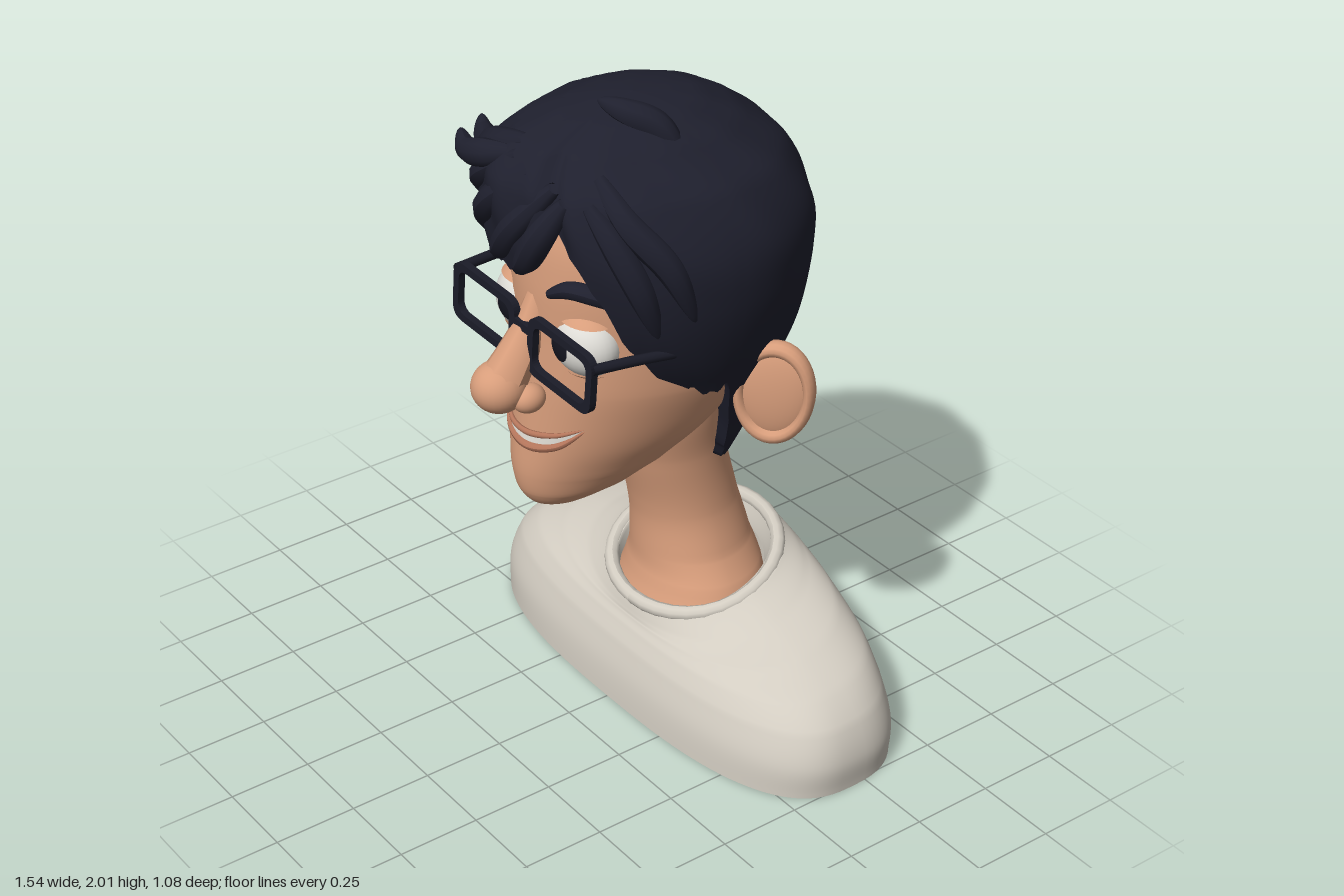
import * as THREE from 'three';

const paint = (name, color) => {
  const m = new THREE.MeshStandardMaterial({ color, side: THREE.DoubleSide });
  m.name = name;
  return m;
};

// Closed-ring grid; rows run upward, columns from the front towards +x
function grid(rows, cols, fn) {
  const pos = [], idx = [];
  for (let i = 0; i <= rows; i++)
    for (let j = 0; j < cols; j++) pos.push(...fn(i / rows, (j / cols) * Math.PI * 2));
  for (let i = 0; i < rows; i++)
    for (let j = 0; j < cols; j++) {
      const a = i * cols + j, b = i * cols + (j + 1) % cols, c = a + cols, d = b + cols;
      idx.push(a, b, d, a, d, c);
    }
  const g = new THREE.BufferGeometry();
  g.setAttribute('position', new THREE.Float32BufferAttribute(pos, 3));
  g.setIndex(idx);
  g.computeVertexNormals();
  return g;
}

// Section: [y, centre x, half width, centre z, front z, back z, power, slope]
function section(secs, u) {
  const n = secs.length - 1, i = Math.min(n - 1, Math.floor(u)), t = u - i;
  const at = (k, c) => secs[Math.max(0, Math.min(n, k))][c] ?? (c === 6 ? 2 : 0);
  return [0, 1, 2, 3, 4, 5, 6, 7].map((c) => {
    const a = at(i - 1, c), b = at(i, c), d = at(i + 1, c), e = at(i + 2, c);
    if (c === 0) return b + (d - b) * t;
    return b + 0.5 * t * (d - a + t * (2 * a - 5 * b + 4 * d - e + t * (3 * (b - d) + e - a)));
  });
}
function sectionAtY(secs, y) {
  let i = 0;
  while (i < secs.length - 2 && secs[i + 1][0] < y) i++;
  const t = (y - secs[i][0]) / (secs[i + 1][0] - secs[i][0]);
  return section(secs, i + Math.max(0, Math.min(1, t)));
}
function ringPoint([y, cx, rx, zc, zf, zb, p, slope], a, k = 1) {
  const s = Math.sin(a), c = Math.cos(a);
  const sx = Math.sign(s) * Math.abs(s) ** (2 / p), sz = Math.sign(c) * Math.abs(c) ** (2 / p);
  return [cx + rx * sx * k, y - slope * sz, zc + (c > 0 ? zf - zc : zc - zb) * sz * k];
}
const loft = (secs, rows = 48, cols = 72) =>
  grid(rows, cols, (v, a) => ringPoint(section(secs, v * (secs.length - 1)), a));

// Front surface depth at x, y
function frontZ(secs, x, y) {
  const [, cx, rx, zc, zf] = sectionAtY(secs, y);
  const s = Math.min(0.97, Math.abs(x - cx) / rx);
  return zc + (zf - zc) * Math.sqrt(1 - s * s);
}

// Tube whose radius follows a taper rule
function sweep(points, r, taper = () => 1, closed = false) {
  const curve = new THREE.CatmullRomCurve3(points.map((p) => new THREE.Vector3(...p)), closed);
  const n = 32, g = new THREE.TubeGeometry(curve, n, r, 10, closed), p = g.attributes.position;
  const v = new THREE.Vector3();
  for (let k = 0; k < p.count; k++) {
    const u = Math.floor(k / 11) / n, c = curve.getPointAt(u);
    v.fromBufferAttribute(p, k).sub(c).multiplyScalar(taper(u)).add(c);
    p.setXYZ(k, v.x, v.y, v.z);
  }
  g.computeVertexNormals();
  return g;
}
const spindle = (u) => Math.sin(Math.PI * Math.min(1, 0.08 + u * 0.92)) ** 0.6;

function roundRect(S, w, h, r) {
  const s = new S(), x = w / 2, y = h / 2;
  s.moveTo(-x + r, -y).lineTo(x - r, -y).quadraticCurveTo(x, -y, x, -y + r);
  s.lineTo(x, y - r).quadraticCurveTo(x, y, x - r, y).lineTo(-x + r, y);
  s.quadraticCurveTo(-x, y, -x, y - r).lineTo(-x, -y + r).quadraticCurveTo(-x, -y, -x + r, -y);
  return s;
}

const SHIRT = [
  [0, 0, 0.765, -0.2, 0.11, -0.54, 2.7, 0], [0.1, 0, 0.77, -0.2, 0.1, -0.54, 2.7, 0],
  [0.2, 0, 0.735, -0.2, 0.075, -0.53, 2.6, 0.01], [0.27, 0, 0.66, -0.2, 0.05, -0.525, 2.5, 0.03],
  [0.325, 0, 0.53, -0.2, 0.035, -0.51, 2.3, 0.06], [0.36, 0, 0.4, -0.2, 0.03, -0.49, 2.1, 0.08],
  [0.41, 0, 0.29, -0.2, 0.015, -0.455, 2, 0.08], [0.41, 0, 0.25, -0.2, 0, -0.43, 2, 0.08],
  [0.33, 0, 0.23, -0.2, -0.02, -0.41, 2, 0.08]];
const NECK = [
  [0.24, 0, 0.27, -0.2, 0.02, -0.42], [0.38, -0.01, 0.215, -0.2, -0.03, -0.415],
  [0.46, -0.025, 0.18, -0.2, -0.04, -0.395], [0.6, -0.04, 0.16, -0.19, -0.035, -0.36],
  [0.8, -0.04, 0.16, -0.15, 0.015, -0.31], [0.95, -0.03, 0.175, -0.12, 0.05, -0.29],
  [1.1, -0.02, 0.18, -0.12, 0.05, -0.28]];
const HEAD = [
  [0.77, -0.02, 0, 0.28, 0.29, 0.27], [0.785, -0.02, 0.08, 0.24, 0.355, 0.14],
  [0.83, -0.02, 0.135, 0.17, 0.385, 0.01], [0.9, -0.02, 0.19, 0.08, 0.395, -0.07],
  [1, -0.015, 0.25, 0.01, 0.388, -0.2], [1.1, -0.01, 0.292, -0.03, 0.38, -0.3],
  [1.2, 0, 0.318, -0.05, 0.37, -0.35], [1.35, 0, 0.335, -0.05, 0.36, -0.4],
  [1.5, 0, 0.345, -0.05, 0.355, -0.42], [1.65, 0, 0.335, -0.05, 0.33, -0.4],
  [1.8, 0, 0.25, -0.05, 0.25, -0.3], [1.88, 0, 0, -0.05, -0.05, -0.05]];
const HAIR = [
  [0.72, -0.03, 0.13, -0.14, -0.08, -0.29], [0.8, -0.03, 0.18, -0.14, -0.02, -0.325],
  [0.9, -0.025, 0.235, -0.13, 0, -0.345], [1, -0.02, 0.275, -0.12, 0.05, -0.385],
  [1.2, 0, 0.345, -0.09, 0.23, -0.445], [1.35, 0, 0.405, -0.06, 0.34, -0.49],
  [1.5, 0, 0.44, -0.05, 0.395, -0.5], [1.65, 0, 0.44, -0.05, 0.425, -0.485],
  [1.8, -0.005, 0.375, -0.03, 0.43, -0.41], [1.9, 0, 0.25, 0, 0.36, -0.28],
  [1.95, 0.01, 0.15, 0.02, 0.23, -0.17], [1.968, 0.015, 0.07, 0.03, 0.12, -0.07],
  [1.975, 0.02, 0, 0.03, 0.03, 0.03]];
// Hairline: [angle from front in degrees, height]
const HEM = [
  [-180, 0.78], [-112, 0.8], [-99, 0.87], [-92, 1.02], [-85, 1.2], [-62, 1.2], [-52, 1.29],
  [-45, 1.4], [-35, 1.48], [-20, 1.54], [-5, 1.54], [6, 1.6], [14, 1.67], [22, 1.7], [32, 1.6],
  [43, 1.4], [53, 1.22], [72, 1.17], [85, 1.18], [92, 1], [99, 0.86], [112, 0.8], [180, 0.78]];

export function createModel() {
  const root = new THREE.Group();
  root.name = 'bust';
  const skin = paint('skin', 0xd79d7b), hair = paint('hair', 0x1f202e), cloth = paint('shirt cloth', 0xd2ccc1);
  const frame = paint('glasses frame', 0x1b1c28), white = paint('eye white', 0xdedcd6);
  const dark = paint('pupil', 0x14151f), tooth = paint('teeth', 0xe6e2da), lip = paint('lip', 0xb3755b);
  const add = (name, geo, mat, parent = root) => {
    const m = new THREE.Mesh(geo, mat);
    m.name = name;
    parent.add(m);
    return m;
  };
  const ball = (name, mat, p, r, parent) => {
    const m = add(name, new THREE.SphereGeometry(1, 32, 20), mat, parent);
    m.position.set(...p);
    m.scale.set(...r);
    return m;
  };

  // Shirt, flat underside and collar band
  add('shirt', loft(SHIRT, 64, 96), cloth);
  add('shirtBase', grid(1, 96, (v, a) => ringPoint(SHIRT[0], a, v)), cloth);
  const band = [];
  for (let i = 0; i < 24; i++) band.push(ringPoint([0.4, 0, 0.275, -0.2, 0.012, -0.445, 2, 0.08], (i / 24) * Math.PI * 2));
  add('collar', sweep(band, 0.022, undefined, true), cloth);

  // Neck, head and nose
  add('neck', loft(NECK), skin);
  add('head', loft(HEAD, 66, 72), skin);
  add('noseBridge', sweep([[0, 1.46, 0.32], [0, 1.36, 0.36], [0, 1.27, 0.415], [-0.005, 1.2, 0.46]], 0.07, (u) => 0.5 + 0.5 * u), skin);
  ball('noseTip', skin, [-0.008, 1.2, 0.46], [0.078, 0.075, 0.08]);
  for (const s of [-1, 1]) ball('nostril', skin, [-0.008 + s * 0.06, 1.172, 0.405], [0.042, 0.042, 0.05]);

  // Ears, eyes and lids
  for (const s of [-1, 1]) {
    const ear = new THREE.Group();
    ear.name = s > 0 ? 'leftEar' : 'rightEar';
    ear.position.set(s > 0 ? 0.385 : -0.405, s > 0 ? 1.14 : 1.205, -0.185);
    ear.rotation.set(0, s * 0.6, -s * 0.14);
    root.add(ear);
    ball('earBowl', skin, [0, 0, -0.008], [0.105, 0.15, 0.036], ear);
    add('earRim', new THREE.TorusGeometry(1, 0.17, 12, 40), skin, ear).scale.set(0.1, 0.14, 0.17);

    const eye = new THREE.Group();
    eye.name = s > 0 ? 'leftEye' : 'rightEye';
    eye.position.set(s * 0.142, s > 0 ? 1.345 : 1.36, 0.272);
    eye.rotation.y = s * 0.2;
    eye.scale.set(0.105, 0.095, 0.083);
    root.add(eye);
    ball('eyeball', white, [0, 0, 0], [1, 1, 1], eye);
    const pupil = add('pupil', new THREE.SphereGeometry(1.025, 24, 8, 0, Math.PI * 2, 0, 0.45), dark, eye);
    pupil.quaternion.setFromUnitVectors(new THREE.Vector3(0, 1, 0), new THREE.Vector3(-s * 0.43, 0, 1).normalize());
    add('upperLid', new THREE.SphereGeometry(1.09, 32, 10, 0, Math.PI * 2, 0, 0.8), skin, eye);
    add('lowerLid', new THREE.SphereGeometry(1.07, 32, 10, 0, Math.PI * 2, 2.4, Math.PI - 2.4), skin, eye);
  }

  // Eyebrows and mouth follow the face
  const onFace = (pts, off) => pts.map(([x, y]) => [x, y, frontZ(HEAD, x, y) + off]);
  add('leftBrow', sweep(onFace([[0.08, 1.49], [0.14, 1.52], [0.2, 1.515], [0.27, 1.47]], 0.008), 0.027, spindle), hair);
  add('rightBrow', sweep(onFace([[-0.05, 1.525], [-0.12, 1.535], [-0.19, 1.52], [-0.26, 1.475]], 0.008), 0.027, spindle), hair);
  const upper = [[-0.12, 1.065], [-0.05, 1.043], [0.02, 1.04], [0.1, 1.055], [0.165, 1.085]];
  const lower = [[-0.12, 1.065], [-0.06, 1.02], [0.02, 1.005], [0.1, 1.025], [0.165, 1.085]];
  const up = new THREE.SplineCurve(upper.map((p) => new THREE.Vector2(...p)));
  const low = new THREE.SplineCurve(lower.map((p) => new THREE.Vector2(...p)));
  const teeth = new THREE.PlaneGeometry(1, 1, 24, 4), tp = teeth.attributes.position;
  for (let k = 0; k < tp.count; k++) {
    const u = tp.getX(k) + 0.5, q = low.getPoint(u).lerp(up.getPoint(u), tp.getY(k) + 0.5);
    tp.setXYZ(k, q.x, q.y, frontZ(HEAD, q.x, q.y) + 0.006);
  }
  teeth.computeVertexNormals();
  add('teeth', teeth, tooth);
  add('upperLip', sweep(onFace(upper, 0.005), 0.009, spindle), lip);
  add('lowerLip', sweep(onFace(lower.map(([x, y]) => [x, y - 0.006]), 0.003), 0.014, spindle), lip);

  // Hair cap with an uneven hem, a parting and shallow grooves
  const hemY = (deg) => {
    let i = 0;
    while (i < HEM.length - 2 && HEM[i + 1][0] < deg) i++;
    const [a, y0] = HEM[i], [b, y1] = HEM[i + 1], r = (deg * Math.PI) / 180;
    return y0 + ((y1 - y0) * (deg - a)) / (b - a) + 0.012 * Math.sin(r * 40) + 0.008 * Math.sin(r * 23);
  };
  add('hairCap', grid(50, 180, (v, a) => {
    const t = a > Math.PI ? a - Math.PI * 2 : a, hem = hemY((t * 180) / Math.PI);
    const s = Math.min(1, (1 - v) / 0.96);
    const y = 1.975 - (1.975 - hem) * s ** 1.6;
    const high = THREE.MathUtils.smoothstep(y, 1.5, 1.7);
    let k = 1 + 0.008 * Math.sin(11 * t + 16 * y) * (0.4 + high);
    k -= 0.08 * high * Math.exp(-(((t - 0.4) / 0.09) ** 2));
    return ringPoint(sectionAtY(HAIR, y), a, v < 0.01 ? 0.84 : k);
  }), hair);

  // Swept fringe locks lying on the cap
  const locks = [
    [[0.17, 1.8], [0.11, 1.69], [0.05, 1.6], [-0.03, 1.52]],
    [[0.13, 1.83], [0.02, 1.69], [-0.08, 1.58], [-0.2, 1.5]],
    [[0.05, 1.85], [-0.1, 1.72], [-0.22, 1.6], [-0.32, 1.47]],
    [[-0.02, 1.87], [-0.18, 1.76], [-0.31, 1.64], [-0.4, 1.5]],
    [[-0.03, 1.9], [-0.17, 1.84], [-0.29, 1.77], [-0.38, 1.71]],
    [[0.22, 1.8], [0.29, 1.7], [0.335, 1.58], [0.34, 1.4]],
    [[0.2, 1.86], [0.3, 1.76], [0.38, 1.64], [0.4, 1.46]]];
  for (const l of locks)
    add('fringeLock', sweep(l.map(([x, y]) => [x, y, frontZ(HAIR, x, y) - 0.018]), 0.042, spindle), hair);
  add('cowlick', sweep([[0.22, 1.87, 0.02], [0.17, 1.94, 0.06], [0.11, 1.975, 0.12], [0.04, 1.993, 0.16]], 0.04, spindle), hair);
  add('sideTuft', sweep([[-0.24, 1.8, 0.3], [-0.32, 1.77, 0.27], [-0.37, 1.78, 0.25], [-0.39, 1.81, 0.24]], 0.035, spindle), hair);
  add('frontTuft', sweep([[-0.05, 1.86, 0.36], [-0.15, 1.83, 0.39], [-0.24, 1.81, 0.39], [-0.3, 1.84, 0.37]], 0.04, spindle), hair);

  // Glasses
  const glasses = new THREE.Group();
  glasses.name = 'glasses';
  glasses.position.set(0.015, 1.345, 0.392);
  glasses.rotation.set(0, 0.05, -0.09);
  root.add(glasses);
  for (const s of [-1, 1]) {
    const rim = roundRect(THREE.Shape, 0.275, 0.185, 0.045);
    rim.holes.push(roundRect(THREE.Path, 0.228, 0.138, 0.035));
    const geo = new THREE.ExtrudeGeometry(rim, { depth: 0.022, bevelEnabled: false, curveSegments: 8 });
    add('rim', geo, frame, glasses).position.set(s * 0.167, 0, -0.011);
  }
  const bridge = add('bridge', new THREE.BoxGeometry(0.08, 0.024, 0.022), frame, glasses);
  bridge.position.y = 0.035;
  add('leftTemple', sweep([[0.315, 1.375, 0.38], [0.33, 1.365, 0.24], [0.345, 1.35, 0.1], [0.35, 1.32, -0.1]], 0.015), frame);
  add('rightTemple', sweep([[-0.285, 1.425, 0.405], [-0.31, 1.415, 0.25], [-0.345, 1.39, 0.1], [-0.35, 1.35, -0.1]], 0.015), frame);
  return root;
}
